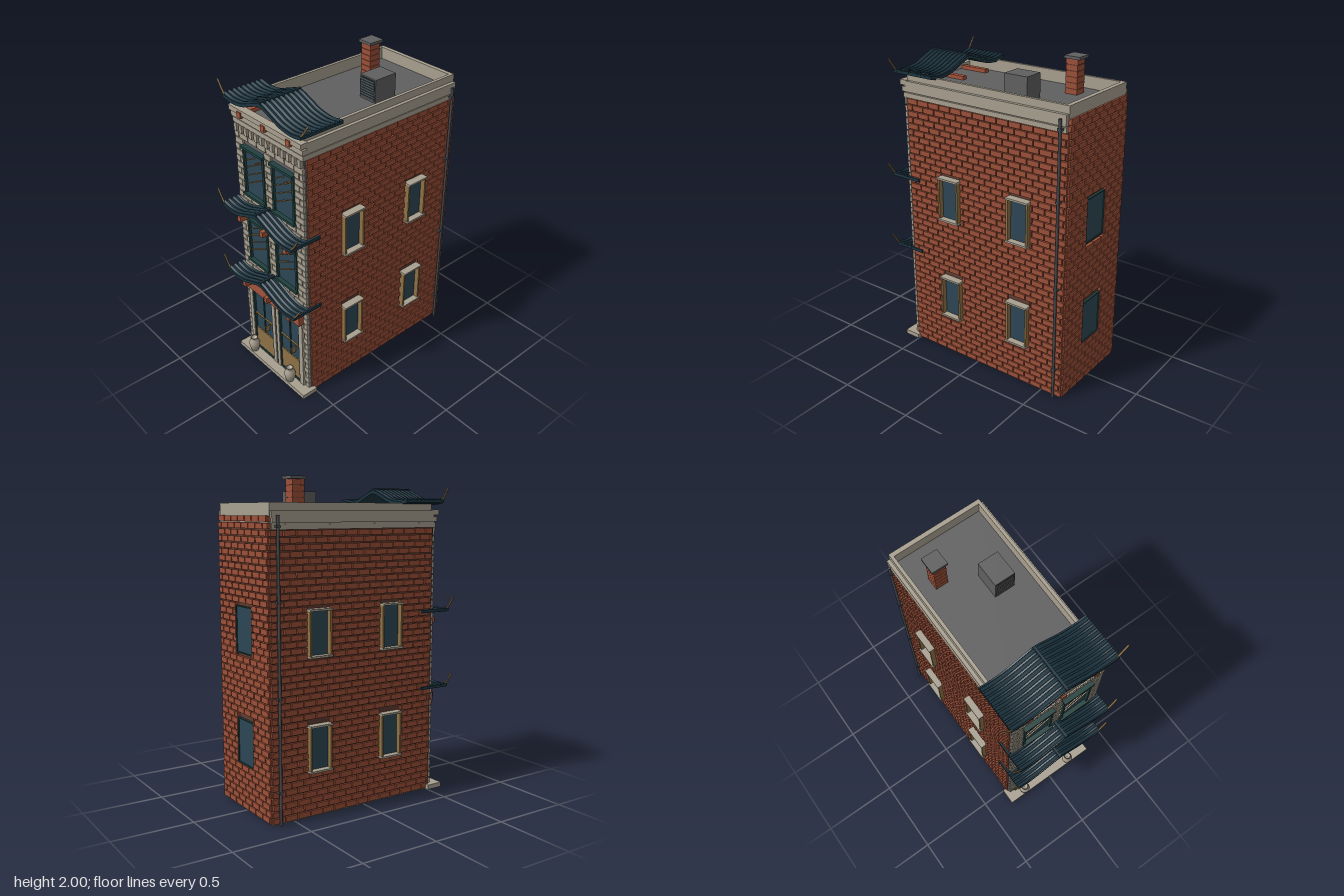
import * as THREE from 'three';
import { mergeGeometries } from 'three/addons/utils/BufferGeometryUtils.js';

const mat = (name, color, extra = {}) => Object.assign(new THREE.MeshStandardMaterial({ color, ...extra }), { name });

export function createModel() {
  const brick = mat('brick red', 0x9c5039);
  const mortar = mat('mortar brown', 0x5e3b2f);
  const stone = mat('pale stone', 0xa8a090);
  const grey = mat('roof grey', 0x606060);
  const tile = mat('roof tile blue', 0x1d3541);
  const glass = mat('window glass', 0x2d4655);
  const green = mat('frame green', 0x20403e);
  const wood = mat('golden wood', 0x8c7145);
  const iron = mat('pipe iron', 0x45484d);
  const terracotta = mat('painted beam', 0xa3533a);

  const root = new THREE.Group();
  root.name = 'townhouse';

  const add = (name, geo, material, parent = root) => {
    const m = new THREE.Mesh(geo, material);
    m.name = name;
    parent.add(m);
    return m;
  };
  // Box given by its minimum and maximum along each axis
  const boxGeo = (x0, x1, y0, y1, z0, z1) =>
    new THREE.BoxGeometry(x1 - x0, y1 - y0, z1 - z0).translate((x0 + x1) / 2, (y0 + y1) / 2, (z0 + z1) / 2);
  const box = (name, material, ...b) => add(name, boxGeo(...b), material);
  const boxes = (name, material, list) => add(name, mergeGeometries(list.map((b) => boxGeo(...b))), material);

  // Running-bond courses on the plane z = 0, leaving holes [u0, u1, y0, y1] open
  function courses(u0, u1, y0, y1, rows, len, depth, gap, holes) {
    const list = [];
    const h = (y1 - y0) / rows;
    for (let r = 0; r < rows; r++) {
      const a = y0 + r * h + gap / 2, b = a + h - gap;
      for (let u = u0 - (r % 2) * len / 2; u < u1; u += len) {
        let parts = [[Math.max(u0, u + gap / 2), Math.min(u1, u + len - gap / 2)]];
        for (const [p, q, c, d] of holes) {
          if (b <= c || a >= d) continue;
          parts = parts.flatMap(([s, e]) => (e <= p || s >= q ? [[s, e]] : [[s, p], [q, e]]));
        }
        for (const [s, e] of parts) if (e - s > 0.006) list.push(boxGeo(s, e, a, b, -0.003, depth));
      }
    }
    return mergeGeometries(list);
  }

  // Main body and flat roof
  box('wallCore', mortar, -0.305, 0.305, 0.004, 1.74, -0.635, 0.517);
  box('groundPlate', stone, -0.31, 0.31, 0, 0.005, -0.64, 0.52);
  box('flatRoof', grey, -0.29, 0.29, 1.74, 1.775, -0.615, 0.52);

  // Side and back brickwork
  const floors = [[0.28, 0.565], [0.965, 1.25]];
  const sideZ = [0.19, -0.33];
  for (const s of [1, -1]) {
    const holes = sideZ.flatMap((z) => floors.map(([a, b]) => [-s * z - 0.075, -s * z + 0.075, a, b]));
    const ends = s > 0 ? [-0.517, 0.645] : [-0.645, 0.517];
    const wall = add('sideBricks', courses(...ends, 0.004, 1.7, 43, 0.085, 0.013, 0.007, holes), brick);
    wall.rotation.y = s * Math.PI / 2;
    wall.position.x = s * 0.305;
  }
  const back = add('backBricks', courses(-0.305, 0.305, 0.004, 1.78, 45, 0.085, 0.018, 0.007,
    floors.map(([a, b]) => [-0.1, 0.1, a, b])), brick);
  back.rotation.y = Math.PI;
  back.position.z = -0.635;

  // Side windows with deep stone ledges and wooden jambs, plain back windows
  for (const [a, b] of floors) {
    for (const s of [1, -1]) for (const z of sideZ) {
      const g = new THREE.Group();
      g.name = 'sideWindow';
      root.add(g);
      g.position.set(s * 0.305, 0, z);
      g.rotation.y = s * Math.PI / 2;
      add('pane', boxGeo(-0.066, 0.066, a + 0.01, b - 0.01, 0, 0.009), glass, g);
      for (const u of [-0.07, 0.07]) add('jamb', boxGeo(u - 0.006, u + 0.006, a + 0.01, b - 0.01, 0, 0.042), wood, g);
      for (const y of [a, b - 0.012]) add('ledge', boxGeo(-0.078, 0.078, y, y + 0.012, 0, 0.05), stone, g);
    }
    box('backPane', glass, -0.094, 0.094, a + 0.006, b - 0.006, -0.644, -0.635);
    boxes('backWindowFrame', green, [[-0.1, 0.1, a, a + 0.007, -0.65, -0.635], [-0.1, 0.1, b - 0.007, b, -0.65, -0.635],
      [-0.1, -0.093, a, b, -0.65, -0.635], [0.093, 0.1, a, b, -0.65, -0.635]]);
  }

  // Stone front
  const levels = [[0.765, 1.09], [1.25, 1.58]];
  const bays = [-0.135, 0.135];
  box('frontBacking', grey, -0.31, 0.31, 0.03, 1.7, 0.515, 0.528);
  const frontHoles = bays.flatMap((x) => levels.map(([a, b]) => [x - 0.1, x + 0.1, a, b]));
  frontHoles.push([-0.27, 0.27, 0, 0.6]);
  add('frontStones', courses(-0.31, 0.31, 0.03, 1.65, 40, 0.084, 0.013, 0.006, frontHoles), stone).position.z = 0.528;
  box('frontStep', stone, -0.34, 0.34, 0, 0.03, 0.5, 0.61);

  // Cornice bands, corbels and parapet
  boxes('cornice', stone, [
    [-0.318, 0.318, 1.7, 1.73, -0.633, 0.542], [-0.324, 0.324, 1.738, 1.768, -0.633, 0.548],
    [-0.312, 0.312, 1.725, 1.742, -0.633, 0.535]]);
  boxes('corniceRim', stone, [
    [-0.325, 0.325, 1.778, 1.81, 0.51, 0.56],
    [-0.325, -0.284, 1.765, 1.805, -0.635, 0.52], [0.284, 0.325, 1.765, 1.805, -0.635, 0.52]]);
  boxes('parapet', stone, [
    [-0.304, -0.284, 1.77, 1.85, -0.635, 0.517], [0.284, 0.304, 1.77, 1.85, -0.635, 0.517],
    [-0.304, 0.304, 1.77, 1.85, -0.64, -0.612]]);
  const corbels = [];
  for (let i = 0; i < 13; i++) {
    const x = -0.288 + i * 0.048;
    corbels.push([x - 0.013, x + 0.013, 1.652, 1.7, 0.52, 0.55]);
  }
  boxes('corbels', stone, corbels);

  // Front windows: frame, pane and slanted lattice bars
  for (const [a, b] of levels) for (const x of bays) {
    box('frontPane', glass, x - 0.092, x + 0.092, a, b, 0.525, 0.535);
    boxes('frontWindowFrame', green, [
      [x - 0.104, x + 0.104, b - 0.016, b, 0.52, 0.562], [x - 0.104, x + 0.104, a, a + 0.016, 0.52, 0.562],
      [x - 0.1, x - 0.085, a, b, 0.52, 0.55], [x + 0.085, x + 0.1, a, b, 0.52, 0.55]]);
    for (const [dx, y, len] of [[0, 0.12, 0.19], [0, 0.175, 0.19], [0, 0.23, 0.19], [0.045, 0.265, 0.09], [-0.04, 0.255, 0.1]]) {
      const bar = add('latticeBar', new THREE.BoxGeometry(len, 0.006, 0.006), wood);
      bar.position.set(x + dx, a + y, 0.538);
      bar.rotation.z = 0.5;
    }
  }

  // Shop entrance: pillars, double doors, handles
  boxes('doorPillars', stone, [[-0.27, -0.238, 0.03, 0.56, 0.52, 0.552], [0.238, 0.27, 0.03, 0.56, 0.52, 0.552],
    [-0.034, -0.006, 0.03, 0.56, 0.52, 0.552], [0.006, 0.034, 0.03, 0.56, 0.52, 0.552]]);
  box('pillarSeam', iron, -0.006, 0.006, 0.03, 0.56, 0.52, 0.546);
  for (const x of bays) {
    box('doorPane', glass, x - 0.1, x + 0.1, 0.19, 0.56, 0.525, 0.535);
    box('doorPanel', wood, x - 0.1, x + 0.1, 0.045, 0.2, 0.525, 0.542);
    box('threshold', green, x - 0.102, x + 0.102, 0.03, 0.045, 0.525, 0.548);
    boxes('doorFrame', green, [[x - 0.104, x - 0.092, 0.03, 0.56, 0.525, 0.548], [x + 0.092, x + 0.104, 0.03, 0.56, 0.525, 0.548],
      [x - 0.004, x + 0.004, 0.2, 0.56, 0.525, 0.542]]);
    box('doorRail', wood, x - 0.092, x + 0.092, 0.32, 0.328, 0.53, 0.545);
    box('doorHandle', wood, x + 0.045, x + 0.053, 0.26, 0.305, 0.54, 0.572);
  }

  // Fascia board and bracket beams
  box('fascia', terracotta, -0.277, 0.277, 0.548, 0.632, 0.52, 0.578);
  for (const x of [-0.22, 0, 0.22]) {
    box('lowerBracket', terracotta, x - 0.015, x + 0.015, 0.588, 0.626, 0.53, 0.62);
    box('upperBracket', terracotta, x - 0.015, x + 0.015, 1.085, 1.122, 0.52, 0.62);
    box('rafter', terracotta, x - 0.017, x + 0.017, 1.762, 1.798, 0.32, 0.568);
  }

  // Swept tile eaves with round ribs and upturned horns
  function eave(name, half, peak, drop, z0, z1, ribStart, ribs, lift) {
    const g = new THREE.Group();
    g.name = name;
    root.add(g);
    const right = [[0.09, peak - drop * 0.4], [0.17, peak - drop * 0.83], [half - 0.08, peak - drop], [half, peak - drop * 0.83]];
    const pts = [...right.map(([x, y]) => [-x, y]).reverse(), [0, peak], ...right];
    const line = new THREE.CatmullRomCurve3(pts.map(([x, y]) => new THREE.Vector3(x, y, 0)));
    const top = line.getPoints(40).map((p) => new THREE.Vector2(p.x, p.y));
    const under = top.map((p) => new THREE.Vector2(p.x, p.y - 0.02)).reverse();
    add('tileBed', new THREE.ExtrudeGeometry(new THREE.Shape([...top, ...under]),
      { depth: z1 - z0, bevelEnabled: false }).translate(0, 0, z0), tile, g);
    const step = (z1 - ribStart) / ribs;
    for (let i = 0; i < ribs; i++) {
      add('tileRib', new THREE.TubeGeometry(line, 32, 0.011, 6), tile, g).position.z = ribStart + (i + 0.5) * step;
    }
    box('ridge', tile, -0.008, 0.008, peak - 0.01, peak + 0.014, ribStart, z1);
    for (const s of [-1, 1]) {
      const y = peak - drop * 0.83;
      const horn = new THREE.CatmullRomCurve3([[-0.012, -0.008], [0.012, 0.02], [0.047, lift]]
        .map(([dx, dy]) => new THREE.Vector3(s * (half + dx), y + dy, z1 - 0.008)));
      add('horn', new THREE.TubeGeometry(horn, 8, 0.006, 6), wood, g);
      const tip = add('hornTip', new THREE.SphereGeometry(0.006, 6, 4), wood, g);
      tip.position.set(s * (half + 0.047), y + lift, z1 - 0.008);
    }
  }
  eave('lowerEave', 0.33, 0.75, 0.07, 0.44, 0.655, 0.525, 4, 0.073);
  eave('middleEave', 0.33, 1.245, 0.07, 0.44, 0.655, 0.525, 4, 0.073);
  eave('topEave', 0.35, 1.93, 0.07, 0.285, 0.578, 0.29, 9, 0.07);

  // Chimney and roof vent unit
  box('chimneyCore', mortar, -0.188, -0.117, 1.77, 1.985, -0.418, -0.347);
  for (let i = 0; i < 6; i++) {
    const y = 1.775 + i * 0.035;
    box('chimneyCourse', brick, -0.192, -0.113, y, y + 0.032, -0.422, -0.343);
  }
  box('chimneyCap', grey, -0.205, -0.104, 1.983, 2, -0.44, -0.335);
  box('ventUnit', grey, 0.045, 0.175, 1.775, 1.92, -0.275, -0.115);
  box('ventFace', tile, 0.052, 0.168, 1.785, 1.912, -0.116, -0.112);
  for (let i = 0; i < 8; i++) box('ventLouvre', grey, 0.052, 0.168, 1.79 + i * 0.0155, 1.797 + i * 0.0155, -0.115, -0.109);

  // Drainpipes near the back corners
  for (const s of [-1, 1]) {
    add('drainpipe', new THREE.CylinderGeometry(0.009, 0.009, 1.78, 10), iron).position.set(s * 0.334, 0.89, -0.602);
    for (const y of [0.2, 0.75, 1.3, 1.72]) {
      add('pipeClip', new THREE.BoxGeometry(0.03, 0.014, 0.026), iron).position.set(s * 0.327, y, -0.602);
    }
  }

  // Stone jars on the step
  const jar = new THREE.LatheGeometry([[0, 0], [0.023, 0], [0.035, 0.04], [0.037, 0.065], [0.027, 0.088], [0.022, 0.095],
    [0.026, 0.106], [0.018, 0.106], [0.016, 0.09], [0, 0.09]].map(([r, y]) => new THREE.Vector2(r, y)), 16);
  for (const x of [-0.21, 0.17]) add('jar', jar, stone).position.set(x, 0.03, 0.583);

  return root;
}
